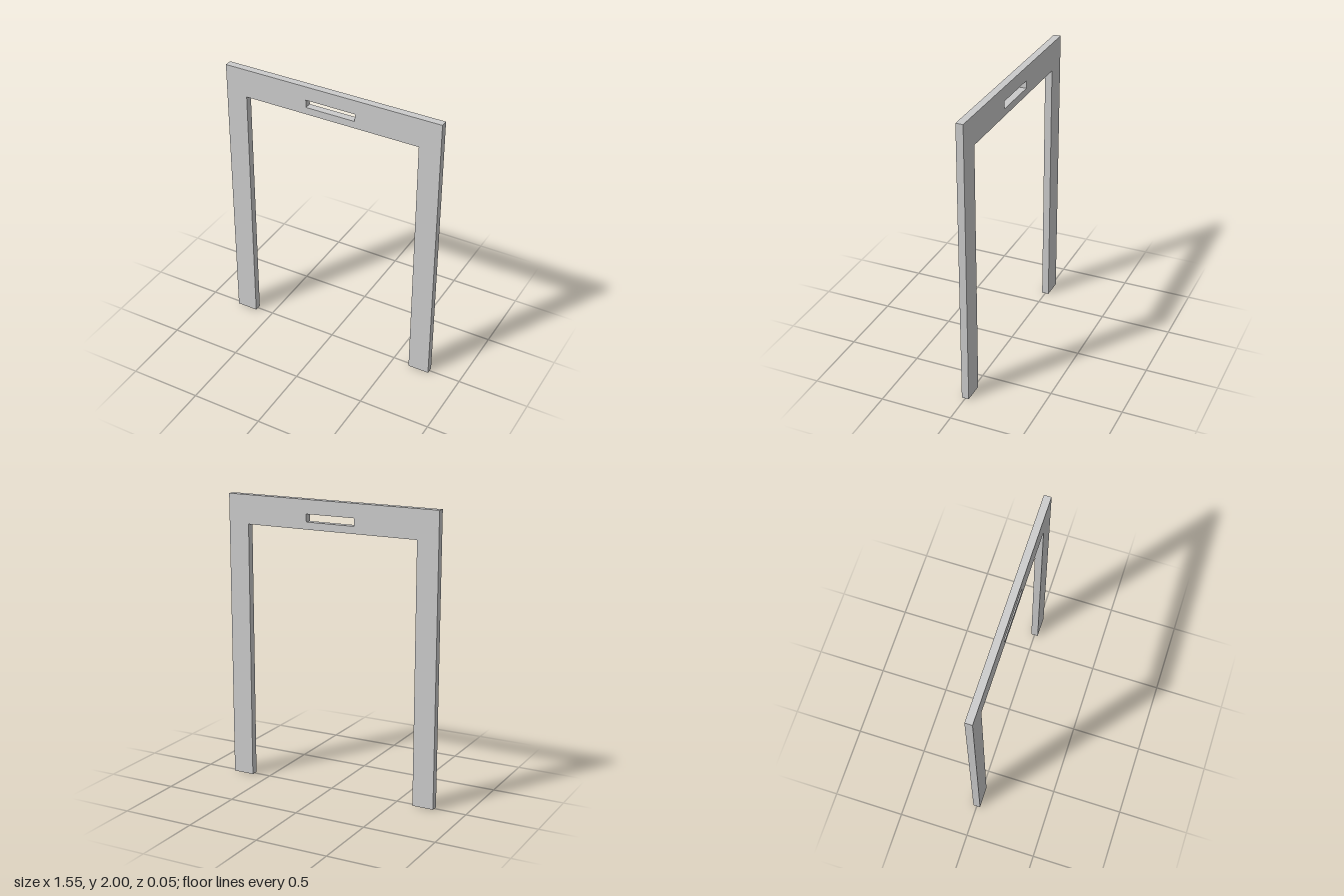
import * as THREE from 'three';

const OUTER = 0.775;   // half width of the frame
const INNER = 0.625;   // half width of the opening
const HEIGHT = 2;
const LINTEL = 1.8;    // underside of the top rail
const DEPTH = 0.05;

const points = (list) => list.map(([x, y]) => new THREE.Vector2(x, y));

export function createModel() {
  const group = new THREE.Group();
  group.name = 'doorFrame';

  // Two legs and a top rail as one outline
  const outline = new THREE.Shape(points([
    [-OUTER, 0], [-INNER, 0], [-INNER, LINTEL], [INNER, LINTEL],
    [INNER, 0], [OUTER, 0], [OUTER, HEIGHT], [-OUTER, HEIGHT],
  ]));

  // Slot through the top rail
  outline.holes.push(new THREE.Path(points([
    [-0.177, 1.85], [-0.177, 1.903], [0.177, 1.903], [0.177, 1.85],
  ])));

  const geometry = new THREE.ExtrudeGeometry(outline, { depth: DEPTH, bevelEnabled: false });
  geometry.translate(0, 0, -DEPTH / 2);

  const frame = new THREE.Mesh(geometry, new THREE.MeshStandardMaterial({ color: 0xcccccc }));
  frame.name = 'slottedFrame';
  group.add(frame);
  return group;
}
